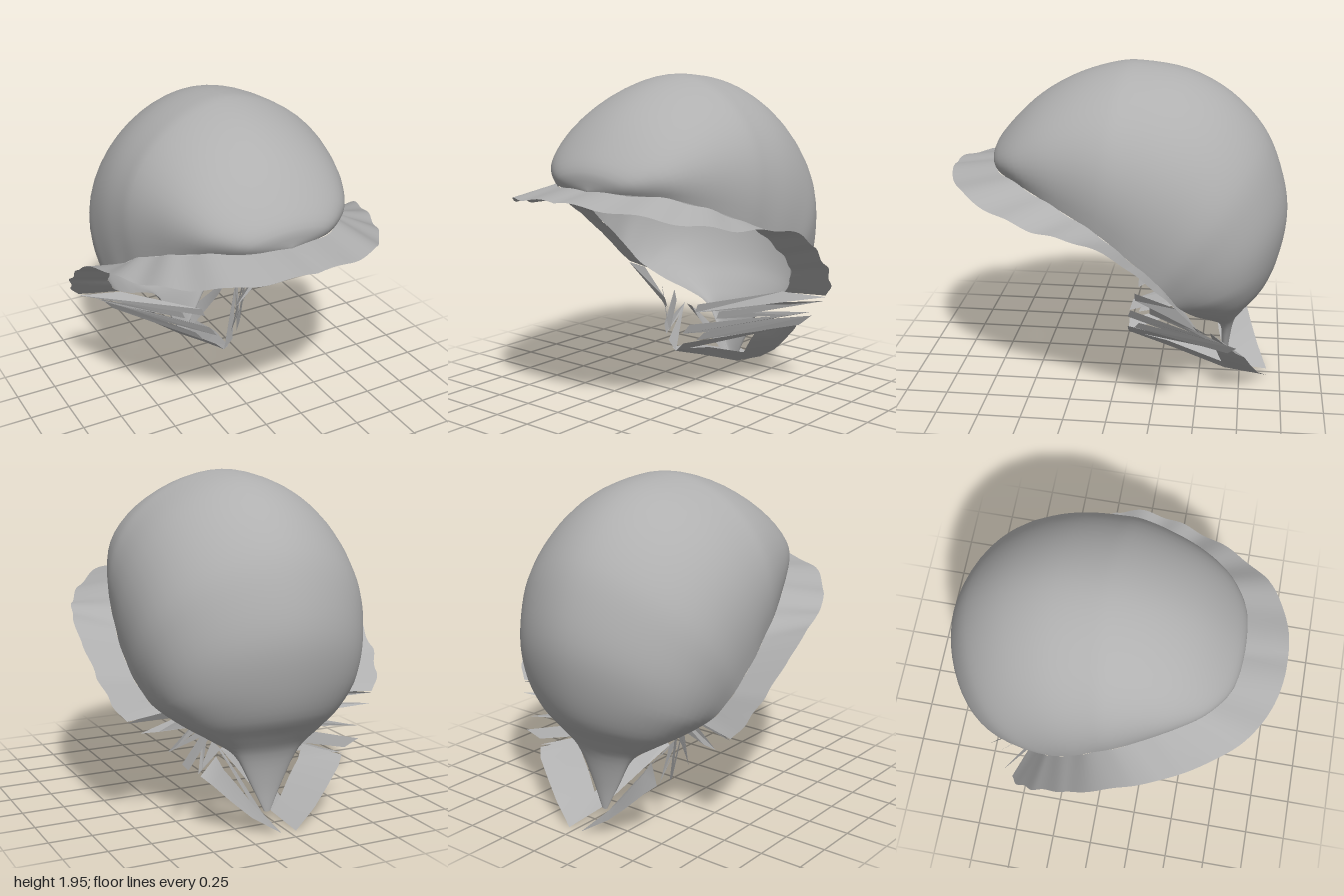
import * as THREE from 'three';

const V = (x, y, z) => new THREE.Vector3(x, y, z);

// Crown sections from brow to nape: [centre y, centre z, rim x, rim y, rim z]
const SECTIONS = [
  [1.35, .74, 0, 1.34, .74], [1.45, .74, .25, 1.34, .69], [1.58, .65, .42, 1.32, .55],
  [1.75, .47, .52, 1.27, .4], [1.88, .24, .59, 1.21, .25], [1.95, 0, .645, 1.14, .1],
  [1.955, -.12, .665, 1.06, -.02], [1.91, -.4, .68, .98, -.12], [1.78, -.65, .68, .9, -.22],
  [1.57, -.85, .67, .82, -.3], [1.35, -.95, .64, .75, -.35], [1.1, -1, .6, .68, -.39],
  [.85, -.97, .55, .63, -.43], [.65, -.9, .44, .55, -.5], [.52, -.8, .32, .48, -.58],
  [.4, -.72, .2, .4, -.63], [.2, -.68, .1, .22, -.64], [.04, -.67, .02, .05, -.66],
];

// Outer edge of the brim, one point for each of the first 13 sections
const BRIM = [
  [0, 1.31, 1], [.27, 1.3, .96], [.5, 1.26, .83], [.66, 1.21, .63], [.77, 1.17, .43],
  [.84, 1.15, .25], [.89, 1.13, .08], [.92, 1.05, -.1], [.91, .97, -.2], [.9, .87, -.32],
  [.88, .79, -.4], [.84, .69, -.48], [.79, .63, -.515],
];

// Folds of the neck ribbon, zigzagging between the throat and the outside
const FOLDS = [
  [[.55, .64, -.4], [.79, .62, -.515]],
  [[.13, .55, -.1], [.11, .495, -.1]],
  [[.74, .575, -.58], [.6, .545, -.5]],
  [[.22, .5, -.2], [.2, .45, -.2]],
  [[.61, .47, -.65], [.52, .455, -.55]],
  [[.09, .42, -.07], [.05, .36, -.05]],
  [[.56, .42, -.73], [.5, .36, -.68]],
  [[.16, .37, -.13], [.12, .32, -.1]],
  [[.46, .345, -.72], [.38, .33, -.6]],
  [[.06, .3, -.05], [0, .24, -.05]],
];

// Side flap of the tail: inner edge, outer edge
const FLAP = [
  [[.28, .38, -.57], [.45, .335, -.73]], [[.24, .3, -.59], [.4, .29, -.78]],
  [[.17, .21, -.61], [.3, .19, -.82]], [[.1, .11, -.64], [.2, .1, -.86]],
  [[.03, .035, -.66], [.045, .005, -.92]],
];

// Surface through a grid of points; faces outward when columns run -x to +x and rows front to back
function gridGeometry(rows) {
  const n = rows[0].length, index = [];
  for (let i = 0; i < rows.length - 1; i++) {
    for (let j = 0; j < n - 1; j++) {
      const a = i * n + j, b = a + 1, c = a + n, d = c + 1;
      index.push(a, b, c, b, d, c);
    }
  }
  const geo = new THREE.BufferGeometry().setFromPoints(rows.flat());
  geo.setIndex(index);
  geo.computeVertexNormals();
  return geo;
}

function flat(geo) {
  const g = geo.toNonIndexed();
  g.computeVertexNormals();
  return g;
}

const curve = (pts) => new THREE.CatmullRomCurve3(pts);
const bothSides = (pts) => [...pts.slice(1).reverse().map((p) => V(-p.x, p.y, p.z)), ...pts];

export function createModel() {
  const group = new THREE.Group();
  const cloth = new THREE.MeshStandardMaterial({ color: 0xb0b0b0, side: THREE.DoubleSide });
  cloth.name = 'grey cloth';
  const add = (name, geo) => {
    const mesh = new THREE.Mesh(geo, cloth);
    mesh.name = name;
    group.add(mesh);
  };

  // Crown: rounded arcs from the centre line down to the rim on both sides
  const centre = curve(SECTIONS.map((s) => V(0, s[0], s[1])));
  const rim = curve(SECTIONS.map((s) => V(s[2], s[3], s[4])));
  const crown = [];
  for (let i = 0; i <= 68; i++) {
    const c = centre.getPoint(i / 68), r = rim.getPoint(i / 68), row = [];
    for (let j = -16; j <= 16; j++) {
      const t = Math.abs(j) / 16 * Math.PI / 2, k = 1 - Math.cos(t);
      const x = r.x * Math.sin(t) * (1 + 0.15 * Math.sin(2 * t));
      row.push(V(Math.sign(j) * x, c.y + (r.y - c.y) * k, c.z + (r.z - c.z) * k));
    }
    crown.push(row);
  }
  add('crown', gridGeometry(crown));

  // Brim: gently rippled band around the face opening
  const inner = curve(bothSides(SECTIONS.slice(0, 13).map((s) => V(s[2], s[3], s[4]))));
  const outer = curve(bothSides(BRIM.map((p) => V(...p))));
  const edges = [[], []];
  const steps = 144;
  for (let i = 0; i <= steps; i++) {
    const u = i / steps, side = Math.abs(2 * u - 1);
    const wave = 0.011 * Math.sin(side * 50) * Math.min(1, (1 - side) * 8);
    [outer, inner].forEach((path, e) => {
      const p = path.getPoint(u);
      const lift = wave * (e ? 0.6 : 1);
      p.x += Math.sign(p.x) * lift * side;
      p.y += lift * (1 - 0.5 * side);
      edges[e].push(p);
    });
  }
  add('brim', gridGeometry(edges));

  // Neck ribbons, tail flaps and throat ties, mirrored
  for (const s of [1, -1]) {
    const side = s > 0 ? 'left' : 'right';
    const strip = (pairs) => gridGeometry([1, 0].map((e) => {
      const row = pairs.map((p) => V(s * p[e][0], p[e][1], p[e][2]));
      return s > 0 ? row : row.reverse();
    }));
    add(side + 'NeckPleats', flat(strip(FOLDS)));
    add(side + 'TailFlap', strip(FLAP));
    add(side + 'ThroatTie', flat(strip([
      [[.03, .26, -.05], [0, .24, -.05]],
      [[.07, .22, -.3], [.012, .16, -.3]],
      [[.1, .11, -.64], [.03, .035, -.66]],
    ])));
  }
  return group;
}
